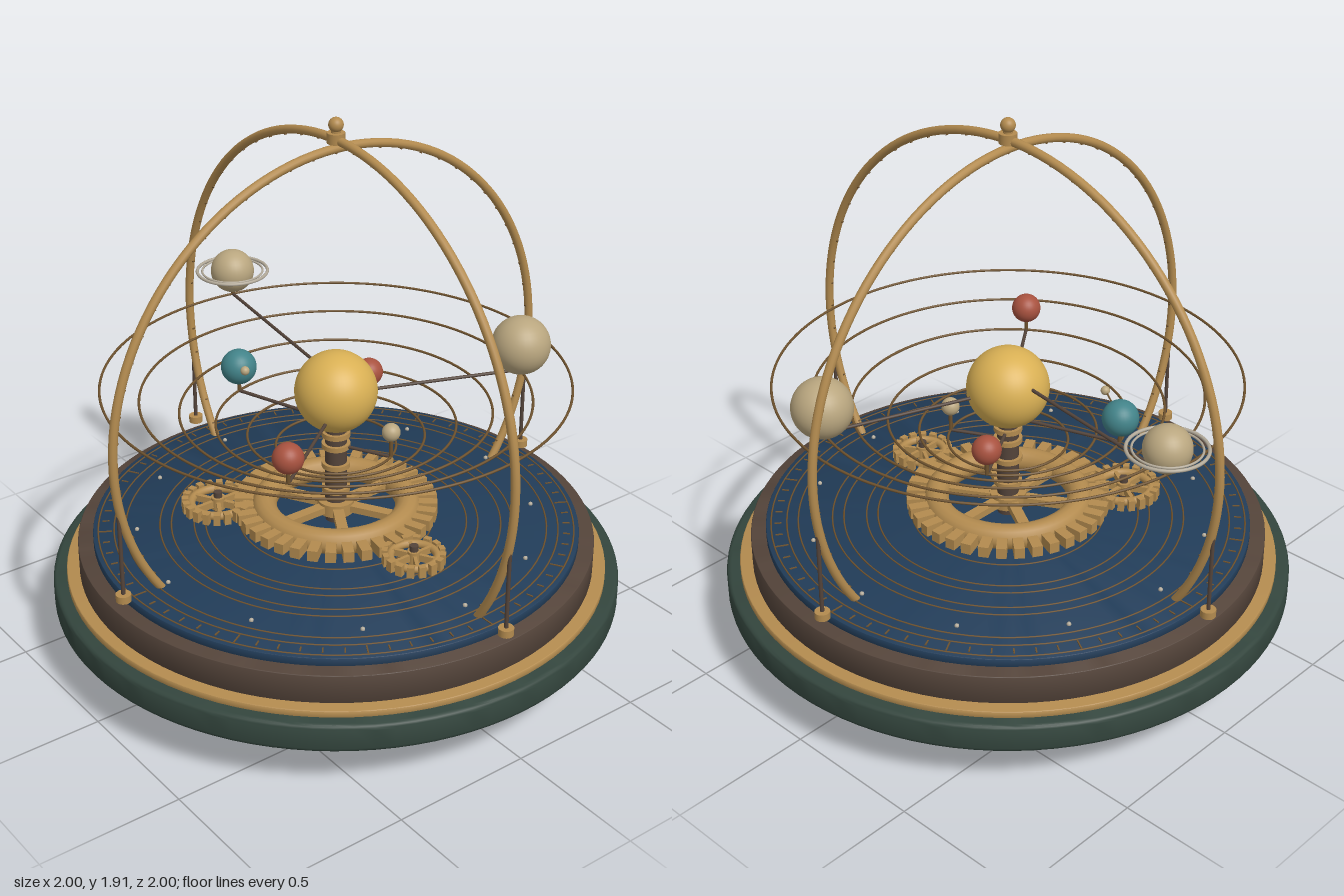
import * as THREE from 'three';
import { toCreasedNormals } from 'three/addons/utils/BufferGeometryUtils.js';

const mat = (name, color) => Object.assign(new THREE.MeshStandardMaterial({ color }), { name });

export function createModel() {
  const M = {
    brass: mat('brass', 0xb38b4f),
    bronze: mat('dark bronze', 0x6e522e),
    green: mat('base green', 0x33453d),
    wood: mat('dark wood', 0x54443a),
    navy: mat('navy', 0x213c58),
    sun: mat('sun gold', 0xd9b054),
    sand: mat('sand', 0xb9a67f),
    red: mat('brick red', 0xa8523f),
    teal: mat('teal', 0x428389),
    silver: mat('pale silver', 0xb4ab9a),
  };
  const root = new THREE.Group();
  const UP = new THREE.Vector3(0, 1, 0);

  function add(parent, name, geo, material, x = 0, y = 0, z = 0) {
    const m = new THREE.Mesh(geo, material);
    m.name = name;
    m.position.set(x, y, z);
    parent.add(m);
    return m;
  }
  function group(name, x = 0, y = 0, z = 0) {
    const g = new THREE.Group();
    g.name = name;
    g.position.set(x, y, z);
    root.add(g);
    return g;
  }
  const ball = (r) => new THREE.SphereGeometry(r, 32, 20);
  const cyl = (r, h, n = 20) => new THREE.CylinderGeometry(r, r, h, n);
  const flatTorus = (r, t, sides = 8, n = 96) => new THREE.TorusGeometry(r, t, sides, n).rotateX(Math.PI / 2);

  // straight round bar between two points
  function rod(parent, name, a, b, r, material) {
    const d = b.clone().sub(a);
    const m = add(parent, name, cyl(r, d.length(), 10), material);
    m.position.copy(a).addScaledVector(d, 0.5);
    m.quaternion.setFromUnitVectors(UP, d.normalize());
  }

  // round slab with softened edges, turned on the lathe
  function slab(name, r, y0, y1, bevel, material) {
    const p = [new THREE.Vector2(0, y0)];
    for (let i = 0; i <= 4; i++) {
      const a = -Math.PI / 2 + (i / 4) * Math.PI / 2;
      p.push(new THREE.Vector2(r - bevel + Math.cos(a) * bevel, y0 + bevel + Math.sin(a) * bevel));
    }
    for (let i = 0; i <= 4; i++) {
      const a = (i / 4) * Math.PI / 2;
      p.push(new THREE.Vector2(r - bevel + Math.cos(a) * bevel, y1 - bevel + Math.sin(a) * bevel));
    }
    p.push(new THREE.Vector2(0, y1));
    add(root, name, toCreasedNormals(new THREE.LatheGeometry(p, 96), 0.6), material);
  }

  // stepped base
  slab('basePlinth', 1.0, 0.185, 0.288, 0.018, M.green);
  slab('baseTrim', 0.952, 0.28, 0.31, 0.004, M.brass);
  slab('baseDrum', 0.907, 0.305, 0.412, 0.004, M.wood);
  slab('starPlate', 0.853, 0.405, 0.44, 0.003, M.navy);

  // inlaid circles, degree ticks and star studs on the plate
  const plate = group('plateMarkings', 0, 0.44, 0);
  for (const r of [0.34, 0.46, 0.5, 0.58, 0.62, 0.74, 0.78, 0.835])
    add(plate, 'inlaidCircle', flatTorus(r, 0.003, 6), M.bronze);
  for (let i = 0; i < 72; i++) {
    const a = (i / 72) * Math.PI * 2;
    const len = i % 6 ? 0.025 : 0.045;
    const t = add(plate, 'degreeTick', new THREE.BoxGeometry(len, 0.006, 0.005), M.bronze,
      Math.cos(a) * 0.81, 0, Math.sin(a) * 0.81);
    t.rotation.y = -a;
  }
  for (let i = 0; i < 12; i++) {
    const a = (i / 12) * Math.PI * 2;
    add(plate, 'starStud', new THREE.SphereGeometry(0.008, 10, 8), M.silver,
      Math.cos(a) * 0.7, 0.003, Math.sin(a) * 0.7);
  }

  // two crossing cage hoops with small graduations on the inside
  function hoop(name, R, turn) {
    const g = group(name, 0, 0.933, 0);
    g.rotation.y = turn;
    add(g, 'hoopTube', new THREE.TorusGeometry(R, 0.015, 12, 128), M.brass);
    for (let i = 0; i < 60; i++) {
      const a = (i / 60) * Math.PI * 2;
      const t = add(g, 'hoopTick', new THREE.BoxGeometry(0.008, 0.005, 0.008), M.bronze,
        Math.cos(a) * (R - 0.014), Math.sin(a) * (R - 0.014), 0);
      t.rotation.z = a;
    }
  }
  hoop('wideHoop', 0.912, 0);
  hoop('narrowHoop', 0.882, Math.PI / 2);

  // finial on the crossing
  const finial = group('finial');
  add(finial, 'finialCollar', cyl(0.03, 0.035), M.brass, 0, 1.852, 0);
  add(finial, 'finialNeck', cyl(0.016, 0.03), M.brass, 0, 1.875, 0);
  add(finial, 'finialBall', ball(0.025), M.brass, 0, 1.895, 0);

  // four posts with feet carrying the hoops
  for (const [x, z] of [[0.9, 0], [-0.9, 0], [0, 0.873], [0, -0.873]]) {
    const post = group('hoopPost', x, 0, z);
    add(post, 'postFoot', cyl(0.026, 0.026), M.brass, 0, 0.453, 0);
    add(post, 'postRod', cyl(0.007, 0.32, 10), M.wood, 0, 0.61, 0);
  }

  // spoked gear: rim, teeth, spokes, hub
  function gear(name, x, z, rim, tube, outer, teeth, spokes, hub) {
    const g = group(name, x, 0.497, z);
    add(g, 'gearRim', flatTorus(rim, tube, 14, 64), M.brass);
    const inner = rim + tube * 0.6;
    const w = (Math.PI * 2 * outer / teeth) * 0.58;
    for (let i = 0; i < teeth; i++) {
      const a = (i / teeth) * Math.PI * 2, r = (inner + outer) / 2;
      add(g, 'gearTooth', new THREE.BoxGeometry(outer - inner, 0.04, w), M.brass,
        Math.cos(a) * r, 0, Math.sin(a) * r).rotation.y = -a;
    }
    for (let i = 0; i < spokes; i++) {
      const a = ((i + 0.5) / spokes) * Math.PI * 2;
      add(g, 'gearSpoke', new THREE.BoxGeometry(rim, 0.025, rim * 0.15), M.brass,
        Math.cos(a) * rim / 2, 0, Math.sin(a) * rim / 2).rotation.y = -a;
    }
    add(g, 'gearHub', cyl(hub, 0.045), M.brass);
    return g;
  }
  gear('mainGear', 0, 0, 0.252, 0.044, 0.357, 36, 6, 0.065);
  for (const g of [gear('sideGear', 0.433, 0, 0.08, 0.014, 0.108, 16, 6, 0.022),
    gear('frontGear', -0.257, 0.326, 0.095, 0.015, 0.128, 20, 6, 0.025)])
    add(g, 'gearAxle', cyl(0.015, 0.1), M.wood, 0, -0.007, 0);

  // central column with collars
  const column = group('column');
  add(column, 'columnShaft', cyl(0.038, 0.42, 24), M.wood, 0, 0.64, 0);
  for (const y of [0.565, 0.66, 0.735, 0.78, 0.825])
    add(column, 'columnCollar', cyl(0.05, 0.018, 24), M.brass, 0, y, 0);

  add(root, 'sun', new THREE.SphereGeometry(0.143, 48, 32), M.sun, 0, 0.942, 0);

  // planets: x, y, z, radius, orbit height, orbit radius, material
  const planets = [
    ['firstPlanet', 0.184, 0.83, -0.096, 0.032, 0.735, 0.208, M.sand],
    ['secondPlanet', -0.155, 0.873, -0.264, 0.05, 0.778, 0.306, M.red],
    ['thirdPlanet', -0.39, 0.92, 0.135, 0.063, 0.825, 0.413, M.teal],
    ['fourthPlanet', 0.318, 0.968, 0.43, 0.052, 0.877, 0.536, M.red],
    ['fifthPlanet', 0.24, 1.027, -0.625, 0.104, 0.931, 0.67, M.sand],
    ['sixthPlanet', -0.79, 1.083, -0.115, 0.08, 0.988, 0.8, M.sand],
  ];
  for (const [name, x, y, z, r, oy, or, m] of planets) {
    const g = group(name + 'Assembly');
    add(g, 'orbitRing', flatTorus(or, 0.0045, 8, 128), M.bronze, 0, oy, 0);
    rod(g, 'orbitArm', new THREE.Vector3(0, oy, 0), new THREE.Vector3(x, oy, z), 0.006, M.wood);
    rod(g, 'planetPin', new THREE.Vector3(x, oy, z), new THREE.Vector3(x, y, z), 0.007, M.bronze);
    add(g, name, ball(r), m, x, y, z);
  }
  // moon on a short arm
  const moon = group('moonAssembly');
  add(moon, 'moon', ball(0.016), M.sand, -0.28, 0.962, 0.183);
  rod(moon, 'moonArm', new THREE.Vector3(-0.39, 0.92, 0.135), new THREE.Vector3(-0.28, 0.962, 0.183), 0.003, M.bronze);
  // flat rings of the outermost planet
  for (const [r, t] of [[0.13, 0.006], [0.112, 0.004]])
    add(root, 'planetRing', flatTorus(r, t, 8, 64), M.silver, -0.79, 1.083, -0.115);

  return root;
}
